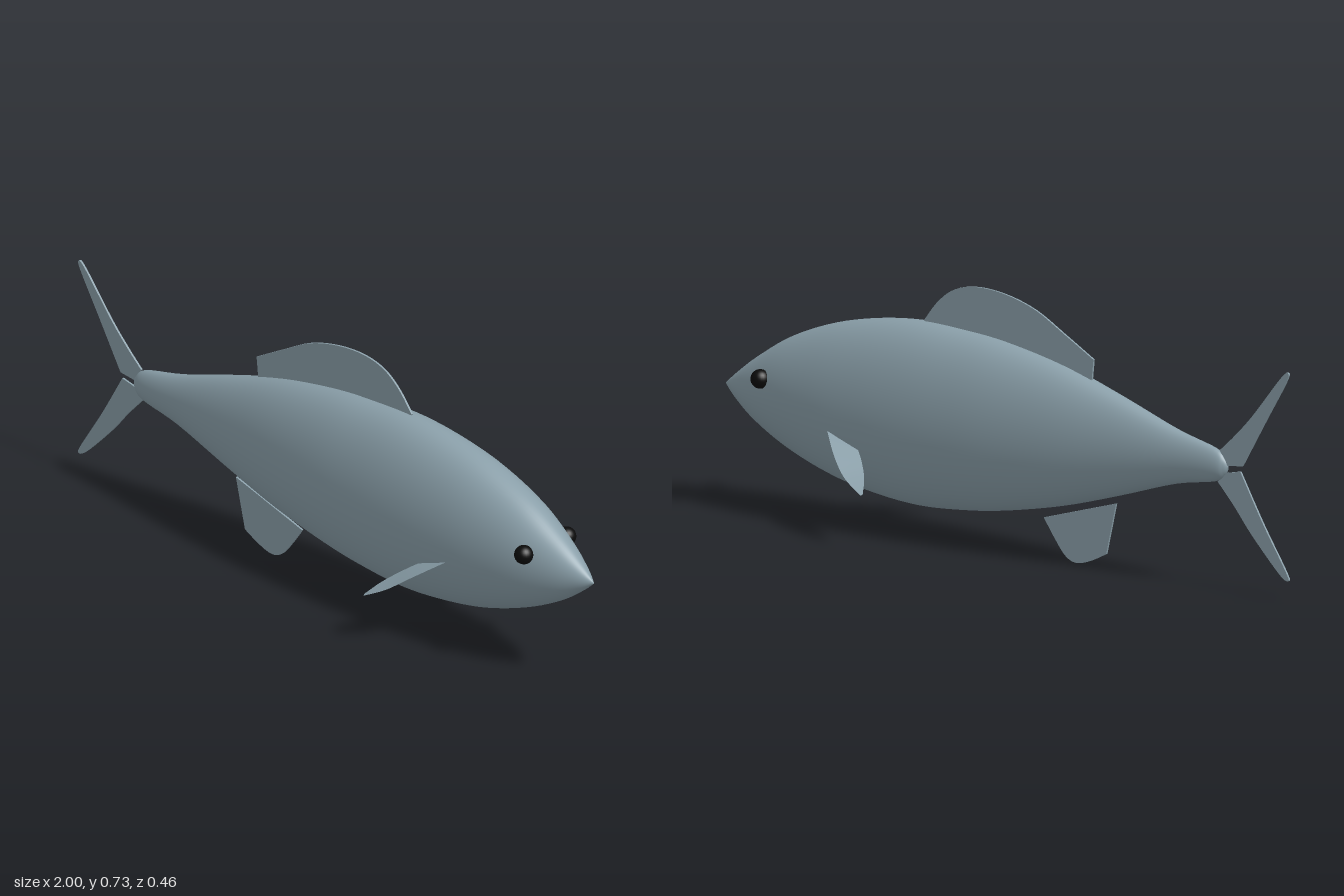
import * as THREE from 'three';
import { mergeVertices } from 'three/addons/utils/BufferGeometryUtils.js';

const skin = new THREE.MeshStandardMaterial({ color: 0x8a9fa9, side: THREE.DoubleSide });
skin.name = 'greyBlueSkin';
const black = new THREE.MeshStandardMaterial({ color: 0x0a0a0a });
black.name = 'black';

// Body stations: x, top y, bottom y, half width
const STATIONS = [
  [-0.785, 0.348, 0.348, 0], [-0.775, 0.37, 0.325, 0.012], [-0.74, 0.396, 0.302, 0.024],
  [-0.6, 0.43, 0.275, 0.04], [-0.4, 0.495, 0.213, 0.068], [-0.2, 0.553, 0.156, 0.096],
  [0, 0.59, 0.115, 0.117], [0.15, 0.603, 0.096, 0.126], [0.3, 0.607, 0.088, 0.13],
  [0.45, 0.592, 0.101, 0.128], [0.6, 0.559, 0.13, 0.119], [0.75, 0.502, 0.181, 0.097],
  [0.87, 0.43, 0.24, 0.063], [0.95, 0.371, 0.295, 0.028], [0.995, 0.333, 0.333, 0],
];

function bodyGeometry() {
  const [top, bottom, width] = [1, 2, 3].map(
    (k) => new THREE.SplineCurve(STATIONS.map((s) => new THREE.Vector2(s[0], s[k]))));
  let g = new THREE.CylinderGeometry(1, 1, 1, 56, 70, true);
  const p = g.attributes.position;
  for (let i = 0; i < p.count; i++) {
    const t = THREE.MathUtils.clamp(p.getY(i) + 0.5, 0, 1);
    const a = top.getPoint(t), b = bottom.getPoint(t).y, w = width.getPoint(t).y;
    p.setXYZ(i, a.x, (a.y + b) / 2 - p.getX(i) * (a.y - b) / 2, p.getZ(i) * w);
  }
  g.deleteAttribute('uv');
  g.deleteAttribute('normal');
  g = mergeVertices(g, 1e-5);
  g.computeVertexNormals();
  return g;
}

// Thin upright fin: a smooth outer edge, closed by straight base points
function finGeometry(edge, base) {
  const curve = new THREE.SplineCurve(edge.map((q) => new THREE.Vector2(...q)));
  const pts = [...curve.getPoints(32), ...base.map((q) => new THREE.Vector2(...q))];
  const g = new THREE.ExtrudeGeometry(new THREE.Shape(pts), { depth: 0.006, bevelEnabled: false });
  return g.translate(0, 0, -0.003);
}

// Side fin: a ribbon between its leading and trailing edges
function sideFinGeometry(side) {
  const curve = (pts) => new THREE.CatmullRomCurve3(
    pts.map(([x, y, z]) => new THREE.Vector3(x, y, z * side)));
  const n = 16;
  const lead = curve([[0.56, 0.297, 0.1], [0.535, 0.281, 0.122], [0.46, 0.228, 0.182],
    [0.4, 0.185, 0.213], [0.33, 0.149, 0.23]]).getPoints(n);
  const trail = curve([[0.46, 0.262, 0.095], [0.436, 0.247, 0.113], [0.4, 0.222, 0.14],
    [0.355, 0.185, 0.183], [0.327, 0.152, 0.224]]).getPoints(n);
  const pos = [], index = [];
  for (let i = 0; i <= n; i++) {
    pos.push(...lead[i].toArray(), ...trail[i].toArray());
    if (i === n) continue;
    const a = 2 * i;
    if (side > 0) index.push(a, a + 1, a + 2, a + 1, a + 3, a + 2);
    else index.push(a, a + 2, a + 1, a + 1, a + 2, a + 3);
  }
  const g = new THREE.BufferGeometry();
  g.setAttribute('position', new THREE.Float32BufferAttribute(pos, 3));
  g.setIndex(index);
  g.computeVertexNormals();
  return g;
}

export function createModel() {
  const fish = new THREE.Group();
  fish.name = 'fish';
  const add = (name, geometry, material = skin) => {
    const m = new THREE.Mesh(geometry, material);
    m.name = name;
    fish.add(m);
    return m;
  };

  add('body', bodyGeometry());

  // Fins along the middle plane
  add('dorsalFin', finGeometry(
    [[-0.31, 0.583], [-0.21, 0.638], [-0.105, 0.693], [0, 0.722], [0.1, 0.729],
      [0.18, 0.712], [0.24, 0.67], [0.29, 0.61]],
    [[0.27, 0.57], [0, 0.55], [-0.3, 0.49]]));
  add('analFin', finGeometry(
    [[-0.355, 0.043], [-0.3, 0.016], [-0.25, 0.003], [-0.21, 0.018], [-0.17, 0.065], [-0.134, 0.115]],
    [[-0.39, 0.19]]));
  add('upperTailFin', finGeometry(
    [[-0.757, 0.392], [-0.81, 0.44], [-0.875, 0.507], [-0.975, 0.627], [-1, 0.642],
      [-0.99, 0.612], [-0.92, 0.497], [-0.837, 0.358]],
    [[-0.785, 0.352]]));
  add('lowerTailFin', finGeometry(
    [[-0.83, 0.342], [-0.91, 0.207], [-0.99, 0.085], [-1, 0.058], [-0.968, 0.073],
      [-0.87, 0.17], [-0.81, 0.24], [-0.75, 0.303]],
    [[-0.783, 0.332]]));

  // Paired side fins and eyes
  for (const side of [1, -1]) {
    const label = side > 0 ? 'front' : 'back';
    add(label + 'SideFin', sideFinGeometry(side));
    add(label + 'Eye', new THREE.SphereGeometry(0.027, 24, 16), black)
      .position.set(0.805, 0.385, 0.083 * side);
  }
  return fish;
}
